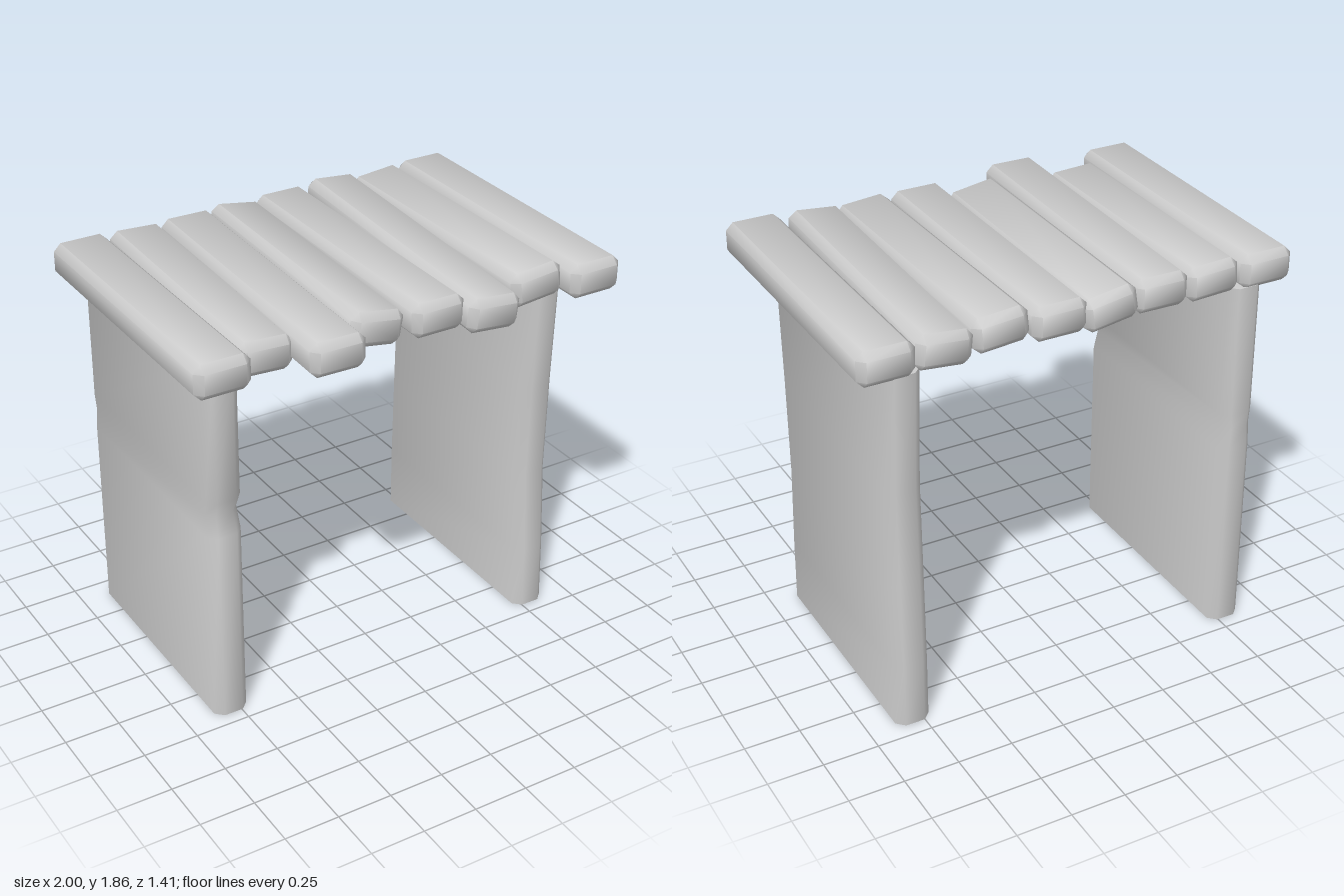
import * as THREE from 'three';
import { toCreasedNormals } from 'three/addons/utils/BufferGeometryUtils.js';

const material = new THREE.MeshStandardMaterial({ color: 0xcccccc });

// Rectangle with cut corners, counter-clockwise; inset = true pulls it in to the end face
function section(x0, x1, y0, y1, c, z, inset = false) {
  const e = inset ? c : 0;
  return [
    [x1 - e, y0 + c], [x1 - e, y1 - c], [x1 - c, y1 - e], [x0 + c, y1 - e],
    [x0 + e, y1 - c], [x0 + e, y0 + c], [x0 + c, y0 + e], [x1 - c, y0 + e],
  ].map(([x, y]) => new THREE.Vector3(x, y, z));
}

// Skin a row of sections along +z and close both ends
function loft(rings) {
  const pos = [];
  const tri = (a, b, c) => {
    if (a.equals(b) || b.equals(c) || c.equals(a)) return;
    for (const p of [a, b, c]) pos.push(p.x, p.y, p.z);
  };
  const n = rings[0].length;
  for (let i = 0; i < rings.length - 1; i++) {
    for (let j = 0; j < n; j++) {
      const k = (j + 1) % n;
      tri(rings[i][j], rings[i][k], rings[i + 1][k]);
      tri(rings[i][j], rings[i + 1][k], rings[i + 1][j]);
    }
  }
  const first = rings[0], last = rings[rings.length - 1];
  for (let j = 1; j < n - 1; j++) {
    tri(first[0], first[j + 1], first[j]);
    tri(last[0], last[j], last[j + 1]);
  }
  const geometry = new THREE.BufferGeometry();
  geometry.setAttribute('position', new THREE.Float32BufferAttribute(pos, 3));
  return geometry;
}

// Bevelled board between a front point and a back point, rolled about its length
function plank([xf, yf, zf], [xb, yb, zb], roll, w = 0.25, h = 0.155) {
  const c = 0.033, L = zf - zb, x = w / 2, y = h / 2;
  const ring = (z, inset) => section(-x, x, -y, y, c, z, inset);
  const geometry = loft([
    ring(-L / 2, true), ring(-L / 2 + c), ring(L / 2 - c), ring(L / 2, true),
  ]);
  const mesh = new THREE.Mesh(toCreasedNormals(geometry, 1), material);
  mesh.position.set((xf + xb) / 2, (yf + yb) / 2, (zf + zb) / 2);
  mesh.rotation.set(Math.atan2(yb - yf, L), Math.atan2(xf - xb, L), roll, 'YXZ');
  return mesh;
}

// Slab leg from rows of [height, front z, back z, side pinch]
function leg(x, rows) {
  const w = 0.079;
  const rings = rows.map(([y, front, back, pinch = 0]) =>
    section(x - w + pinch, x + w - pinch, -front, -back, 0.035, y));
  const geometry = loft(rings).rotateX(-Math.PI / 2);
  return new THREE.Mesh(toCreasedNormals(geometry, 1), material);
}

export function createModel() {
  const model = new THREE.Group();

  // Seat boards: front centre, back centre, roll
  const seat = new THREE.Group();
  seat.name = 'seat';
  const boards = [
    [[-0.873, 1.757, 0.63], [-0.873, 1.757, -0.705], 0],
    [[-0.633, 1.735, 0.53], [-0.618, 1.755, -0.69], -0.05],
    [[-0.402, 1.752, 0.70], [-0.368, 1.757, -0.69], 0],
    [[-0.143, 1.74, 0.565], [-0.122, 1.75, -0.705], -0.16],
    [[0.112, 1.757, 0.63], [0.112, 1.757, -0.705], 0],
    [[0.35, 1.728, 0.68], [0.372, 1.774, -0.695], -0.09],
    [[0.61, 1.768, 0.615], [0.62, 1.748, -0.695], 0.1],
    [[0.873, 1.757, 0.67], [0.873, 1.757, -0.71], 0],
  ];
  boards.forEach(([front, back, roll], i) => {
    const mesh = plank(front, back, roll);
    mesh.name = `seatPlank${i + 1}`;
    seat.add(mesh);
  });
  model.add(seat);

  // Right leg with a nick in its front edge
  const rightLeg = leg(-0.789, [
    [0, 0.44, -0.685], [0.91, 0.438, -0.685], [1.01, 0.415, -0.685, 0.006],
    [1.08, 0.44, -0.685], [1.69, 0.44, -0.685],
  ]);
  rightLeg.name = 'rightLeg';

  // Left leg with gently worn edges
  const leftLeg = leg(0.795, [
    [0, 0.44, -0.685], [0.3, 0.432, -0.683], [0.7, 0.408, -0.672],
    [1.15, 0.418, -0.658], [1.69, 0.44, -0.682],
  ]);
  leftLeg.name = 'leftLeg';

  model.add(rightLeg, leftLeg);
  return model;
}
